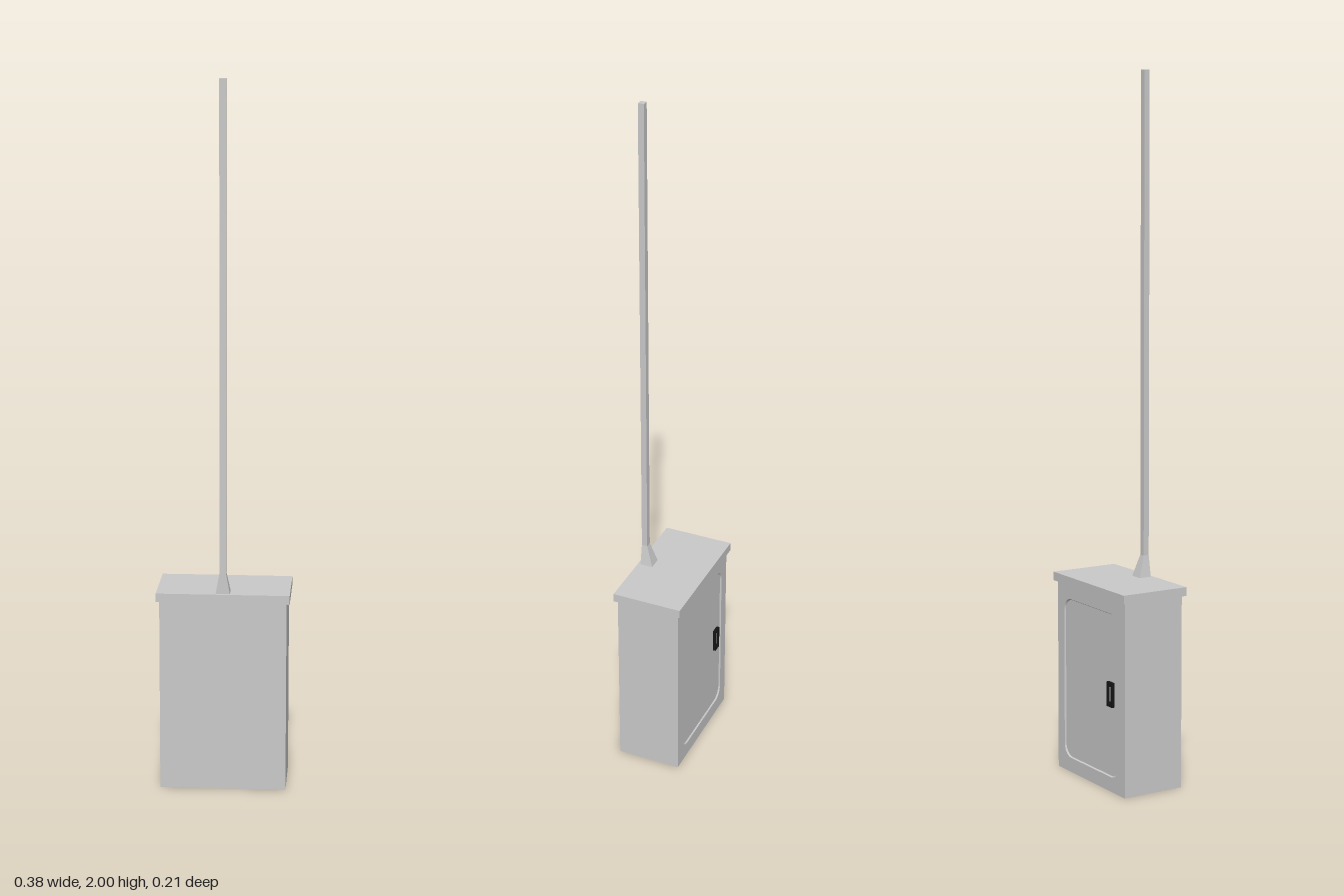
import * as THREE from 'three';

const grey = new THREE.MeshStandardMaterial({ color: 0xc9c9c9 });
grey.name = 'painted metal grey';
const black = new THREE.MeshStandardMaterial({ color: 0x151515 });
black.name = 'handle black';

// Adds a box given by its extents on each axis
function box(parent, name, material, [x0, x1], [y0, y1], [z0, z1]) {
  const geometry = new THREE.BoxGeometry(x1 - x0, y1 - y0, z1 - z0);
  geometry.translate((x0 + x1) / 2, (y0 + y1) / 2, (z0 + z1) / 2);
  const mesh = new THREE.Mesh(geometry, material);
  mesh.name = name;
  parent.add(mesh);
  return mesh;
}

// Rounded rectangle outline
function rectangle(path, x0, x1, y0, y1, r) {
  path.moveTo(x0 + r, y0);
  path.lineTo(x1 - r, y0);
  path.absarc(x1 - r, y0 + r, r, -Math.PI / 2, 0);
  path.lineTo(x1, y1 - r);
  path.absarc(x1 - r, y1 - r, r, 0, Math.PI / 2);
  path.lineTo(x0 + r, y1);
  path.absarc(x0 + r, y1 - r, r, Math.PI / 2, Math.PI);
  path.lineTo(x0, y0 + r);
  path.absarc(x0 + r, y0 + r, r, Math.PI, Math.PI * 1.5);
  return path;
}

export function createModel() {
  const model = new THREE.Group();
  model.name = 'utilityCabinet';

  // Cabinet and overhanging lid
  const back = -0.094, recess = 0.004;
  box(model, 'cabinetBody', grey, [-0.179, 0.179], [0, 0.552], [back + recess, 0.094]);
  box(model, 'lid', grey, [-0.188, 0.188], [0.552, 0.577], [-0.103, 0.103]);

  // Back frame around the shallow rounded door recess, with sloping inner walls
  const frame = new THREE.Shape([
    new THREE.Vector2(-0.179, 0), new THREE.Vector2(0.179, 0),
    new THREE.Vector2(0.179, 0.552), new THREE.Vector2(-0.179, 0.552),
  ]);
  frame.holes.push(rectangle(new THREE.Path(), -0.144, 0.144, 0.042, 0.51, 0.036));
  const frameGeometry = new THREE.ExtrudeGeometry(frame, { depth: recess, bevelEnabled: false, curveSegments: 8 });
  frameGeometry.translate(0, 0, back);
  const f = frameGeometry.attributes.position;
  for (let i = 0; i < f.count; i++) {
    if (f.getZ(i) < back + recess / 2 || Math.abs(f.getX(i)) > 0.17) continue;
    f.setXY(i, f.getX(i) * 0.98, 0.276 + (f.getY(i) - 0.276) * 0.988);
  }
  frameGeometry.computeVertexNormals();
  const doorFrame = new THREE.Mesh(frameGeometry, grey);
  doorFrame.name = 'doorFrame';
  model.add(doorFrame);

  // Door handle: black surround with a grey lever in its opening
  const handle = new THREE.Group();
  handle.name = 'doorHandle';
  const hx = -0.106, face = back + recess;
  box(handle, 'handleBase', black, [hx - 0.014, hx + 0.014], [0.245, 0.315], [-0.093, face]);
  for (const s of [-1, 1]) {
    const x = hx + s * 0.011, y = 0.28 + s * 0.031;
    box(handle, 'handleSide', black, [x - 0.003, x + 0.003], [0.245, 0.315], [-0.099, -0.093]);
    box(handle, 'handleEnd', black, [hx - 0.008, hx + 0.008], [y - 0.004, y + 0.004], [-0.099, -0.093]);
  }
  box(handle, 'handleLever', grey, [hx - 0.004, hx + 0.004], [0.26, 0.3], [-0.096, -0.093]);
  model.add(handle);

  // Square mast with a foot that widens downwards, flush on its front side
  const zFront = 0.095, zMast = 0.078;
  box(model, 'mast', grey, [-0.009, 0.009], [0.577, 2], [zMast, zFront]);
  const foot = box(model, 'mastFoot', grey, [-0.02, 0.02], [0.577, 0.638], [0.058, zFront]);
  const p = foot.geometry.attributes.position;
  for (let i = 0; i < p.count; i++) {
    if (p.getY(i) < 0.6) continue;
    p.setX(i, Math.sign(p.getX(i)) * 0.009);
    if (p.getZ(i) < 0.07) p.setZ(i, zMast);
  }
  foot.geometry.computeVertexNormals();

  return model;
}
